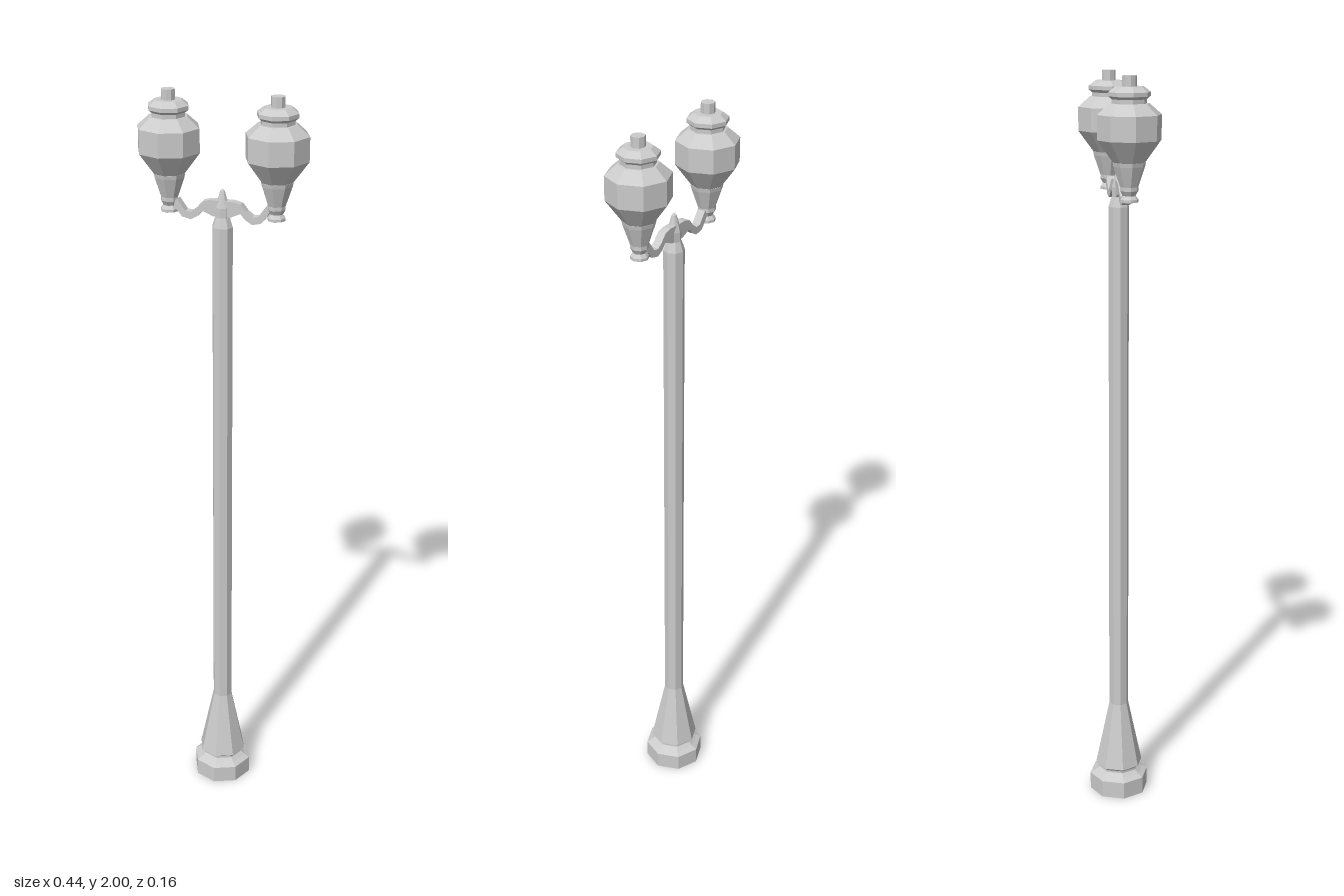
import * as THREE from 'three';

const material = new THREE.MeshStandardMaterial({ color: 0xcccccc, flatShading: true });

// Eight-sided turned part from [radius, height] pairs, listed bottom to top
function turned(name, profile) {
  const points = profile.map(([r, y]) => new THREE.Vector2(r, y));
  const mesh = new THREE.Mesh(new THREE.LatheGeometry(points, 8), material);
  mesh.name = name;
  return mesh;
}

export function createModel() {
  const model = new THREE.Group();
  model.name = 'streetLamp';

  // Plinth, collar and flared foot
  model.add(turned('base', [
    [0, 0], [0.082, 0], [0.082, 0.048], [0.068, 0.056], [0.056, 0.066],
    [0.056, 0.072], [0.066, 0.08], [0.027, 0.265], [0, 0.265],
  ]));

  // Tall shaft with tapered shoulder
  model.add(turned('pole', [
    [0, 0.26], [0.027, 0.26], [0.027, 1.665], [0.019, 1.69], [0, 1.69],
  ]));

  // Pointed finial between the arms
  model.add(turned('finial', [
    [0, 1.685], [0.018, 1.685], [0.018, 1.715], [0.006, 1.757], [0, 1.763],
  ]));

  // One flat scrolled bracket spanning both sides
  const top = [
    [0.03, 1.733], [0.05, 1.728], [0.065, 1.71], [0.08, 1.699], [0.095, 1.7],
    [0.105, 1.714], [0.116, 1.729],
  ];
  const bottom = [
    [0.128, 1.722], [0.118, 1.702], [0.103, 1.684], [0.08, 1.679],
    [0.062, 1.69], [0.05, 1.704], [0.022, 1.692],
  ];
  const half = [...top, ...bottom];
  const outline = [...half, ...half.map(([x, y]) => [-x, y]).reverse()];
  const shape = new THREE.Shape(outline.map(([x, y]) => new THREE.Vector2(x, y)));
  const armGeometry = new THREE.ExtrudeGeometry(shape, { depth: 0.022, bevelEnabled: false });
  armGeometry.translate(0, 0, -0.011);
  const arms = new THREE.Mesh(armGeometry, material);
  arms.name = 'arms';
  model.add(arms);

  for (const side of [1, -1]) {
    const lamp = new THREE.Group();
    lamp.name = side > 0 ? 'leftLamp' : 'rightLamp';
    lamp.position.x = side * 0.14;

    // Socket cup with foot ring and rim
    lamp.add(turned('socket', [
      [0, 1.694], [0.023, 1.694], [0.023, 1.701], [0.016, 1.71], [0.023, 1.722],
      [0.023, 1.732], [0.04, 1.782], [0.042, 1.792], [0, 1.792],
    ]));

    // Globe
    lamp.add(turned('globe', [
      [0, 1.788], [0.038, 1.788], [0.081, 1.846], [0.081, 1.907], [0.05, 1.934], [0, 1.934],
    ]));

    // Stepped cap and top knob
    lamp.add(turned('cap', [
      [0, 1.93], [0.044, 1.93], [0.044, 1.944], [0.053, 1.951], [0.053, 1.961],
      [0.036, 1.974], [0.018, 1.974], [0.018, 2], [0, 2],
    ]));
    model.add(lamp);
  }
  return model;
}
